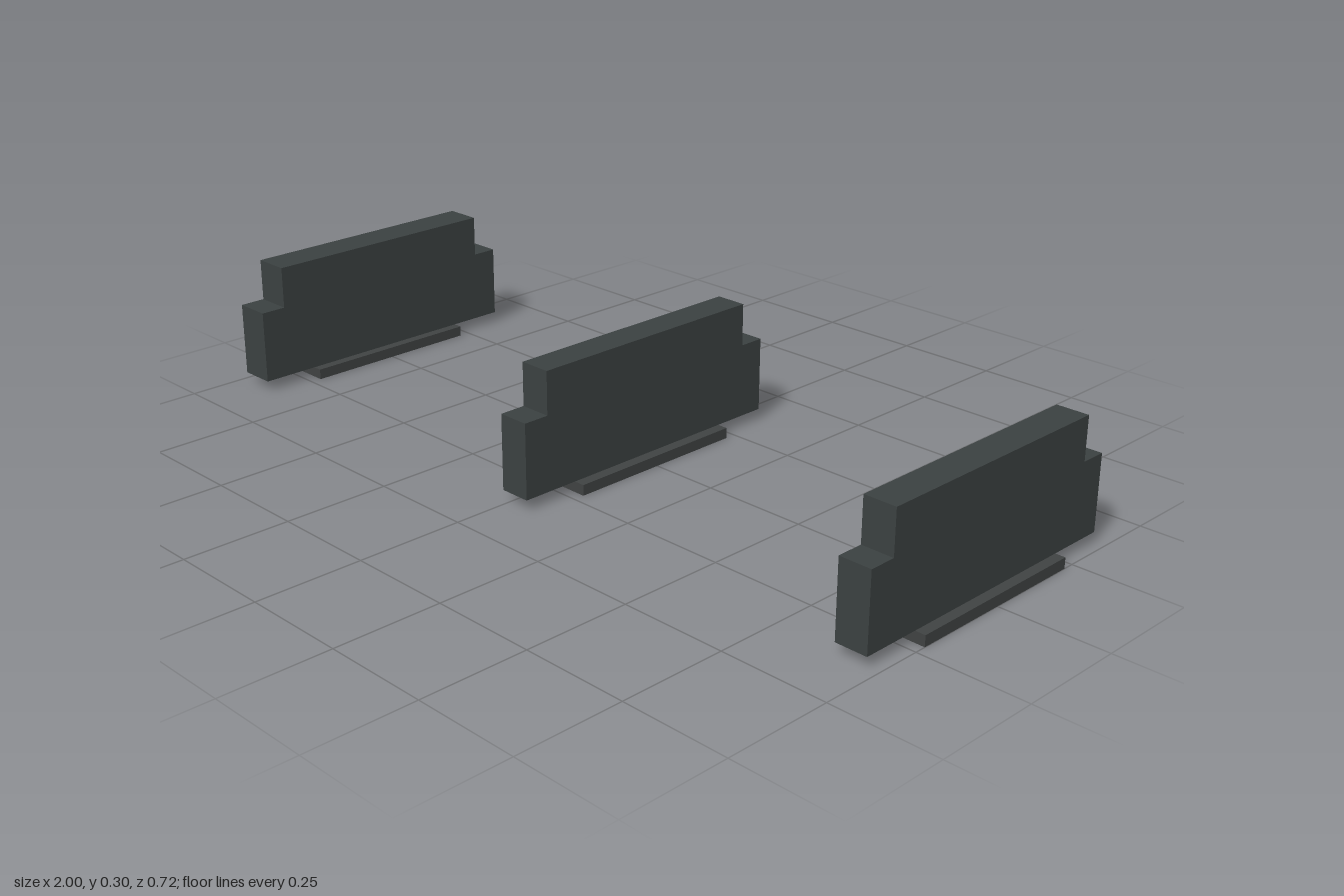
import * as THREE from 'three';

export function createModel() {
  const group = new THREE.Group();
  const slate = new THREE.MeshStandardMaterial({ color: 0x3b4141 });
  slate.name = 'darkSlate';
  const grey = new THREE.MeshStandardMaterial({ color: 0x404343 });
  grey.name = 'darkGrey';

  const footTop = 0.025, shoulder = 0.2, top = 0.3;
  const halfLow = 0.362, halfHigh = 0.3, footDepth = 0.448;

  // Panel profile: a wide lower slab with a stepped-in upper edge
  const profile = new THREE.Shape([
    [-halfLow, footTop], [halfLow, footTop], [halfLow, shoulder], [halfHigh, shoulder],
    [halfHigh, top], [-halfHigh, top], [-halfHigh, shoulder], [-halfLow, shoulder],
  ].map(([z, y]) => new THREE.Vector2(z, y)));

  // One upright panel standing on a thin foot strip; ranges are [minX, maxX]
  function addStand(name, panelX, footX) {
    const stand = new THREE.Group();
    stand.name = name;

    const panelGeo = new THREE.ExtrudeGeometry(profile, {
      depth: panelX[1] - panelX[0], bevelEnabled: false,
    });
    panelGeo.rotateY(Math.PI / 2);
    const panel = new THREE.Mesh(panelGeo, slate);
    panel.name = 'steppedPanel';
    panel.position.x = panelX[0];

    const foot = new THREE.Mesh(
      new THREE.BoxGeometry(footX[1] - footX[0], footTop, footDepth), grey);
    foot.name = 'footStrip';
    foot.position.set((footX[0] + footX[1]) / 2, footTop / 2, 0);

    stand.add(panel, foot);
    group.add(stand);
  }

  addStand('rightStand', [-0.976, -0.888], [-1, -0.865]);
  addStand('middleStand', [-0.014, 0.061], [-0.038, 0.087]);
  addStand('leftStand', [0.901, 0.976], [0.875, 1]);

  return group;
}
